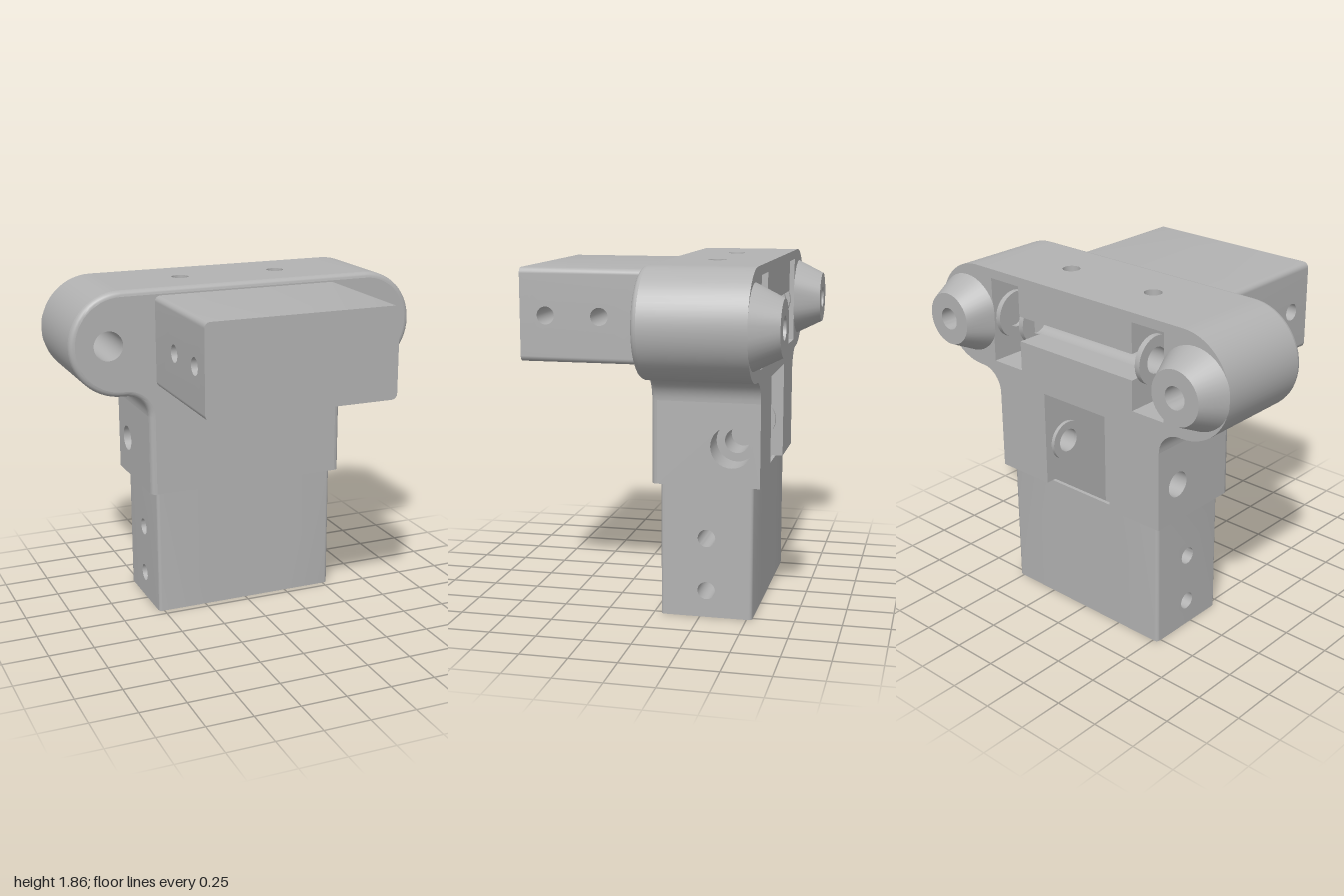
import * as THREE from 'three';
import { toCreasedNormals } from 'three/addons/utils/BufferGeometryUtils.js';

const V = (x, y) => new THREE.Vector2(x, y);

function arc(cx, cy, r, a0, a1, n) {
  return Array.from({ length: n + 1 }, (_, i) => {
    const a = a0 + (a1 - a0) * i / n;
    return V(cx + r * Math.cos(a), cy + r * Math.sin(a));
  });
}

// Shape from points, with round holes given as [x, y, radius]
function shapeOf(points, holes = []) {
  const s = new THREE.Shape(points);
  for (const [x, y, r] of holes) s.holes.push(new THREE.Path(arc(x, y, r, 0, -Math.PI * 2, 32).slice(0, -1)));
  return s;
}
const rect = (x0, x1, y0, y1) => [V(x0, y0), V(x1, y0), V(x1, y1), V(x0, y1)];
const extrude = (shape, depth, steps = 1) =>
  new THREE.ExtrudeGeometry(shape, { depth, steps, bevelEnabled: false, curveSegments: 16 });
const smooth = (g) => toCreasedNormals(g, 0.5);

// Right half of the T outline inset by t, from the foot up to the top of the lobe
function halfOutline(t) {
  return [
    V(0.57 - t, 0.72),
    ...arc(0.7, 1.16, 0.13 + t, Math.PI, Math.PI / 2, 10),
    ...arc(0.715, 1.575, 0.285 - t, -Math.PI / 2, Math.PI / 2, 28),
  ];
}
function outline(t) {
  const h = halfOutline(t);
  return [...h, ...h.map((p) => V(-p.x, p.y)).reverse()];
}

// Rounded rim that joins the T outline to its front face
function rimGeometry(r) {
  const pos = [], idx = [], steps = 5;
  let n = 0;
  for (let k = 0; k <= steps; k++) {
    const a = k / steps * Math.PI / 2;
    const ring = outline(r * (1 - Math.cos(a)));
    n = ring.length;
    ring.forEach((p) => pos.push(p.x, p.y, -r + r * Math.sin(a)));
  }
  for (let k = 0; k < steps; k++) for (let i = 0; i < n; i++) {
    const a = k * n + i, b = k * n + (i + 1) % n;
    idx.push(a, b, b + n, a, b + n, a + n);
  }
  const g = new THREE.BufferGeometry();
  g.setAttribute('position', new THREE.Float32BufferAttribute(pos, 3));
  g.setIndex(idx);
  return smooth(g);
}

// Block extruded along x (shape is drawn in -z, y)
function alongX(shape, x0, x1) {
  return smooth(extrude(shape, x1 - x0).rotateY(Math.PI / 2).translate(x0, 0, 0));
}

// Drilled block along x whose outer edges are rounded across z or y
function roundedSide(u0, u1, y0, y1, holes, x0, x1, r, axis) {
  const g = extrude(shapeOf(rect(u0, u1, y0, y1), holes), 1, 5);
  const p = g.attributes.position;
  const [lo, hi] = axis === 'z' ? [u0, u1] : [y0, y1];
  for (let i = 0; i < p.count; i++) {
    const k = Math.round(p.getZ(i) * 5);
    const a = Math.max(0, k - 1) / 4 * Math.PI / 2;
    const inset = r * (1 - Math.cos(a));
    let c = axis === 'z' ? p.getX(i) : p.getY(i);
    if (Math.abs(c - lo) < 1e-4) c += inset;
    else if (Math.abs(c - hi) < 1e-4) c -= inset;
    if (axis === 'z') p.setX(i, c); else p.setY(i, c);
    p.setZ(i, k === 0 ? x0 : x1 - r + r * Math.sin(a));
  }
  return smooth(g.rotateY(Math.PI / 2));
}

export function createModel() {
  const root = new THREE.Group();
  root.name = 'cornerBracket';
  const grey = new THREE.MeshStandardMaterial({ color: 0xb2b2b2, side: THREE.DoubleSide });
  grey.name = 'grey';

  const add = (name, geo, mirror = false) => {
    for (const s of mirror ? [1, -1] : [1]) {
      const m = new THREE.Mesh(geo, grey);
      m.name = name;
      m.scale.x = s;
      root.add(m);
    }
  };
  const box = (name, x0, x1, y0, y1, z0, z1, mirror) => add(name,
    new THREE.BoxGeometry(x1 - x0, y1 - y0, z1 - z0)
      .translate((x0 + x1) / 2, (y0 + y1) / 2, (z0 + z1) / 2), mirror);

  const R = 0.03, BACK = -0.57, AXIS = 1.575, BOLT = 0.79, NOTCH = 0.23;

  // Front face with its rounded rim and bolt holes
  add('frontRim', rimGeometry(R));
  add('frontFace', new THREE.ShapeGeometry(
    shapeOf(outline(R), [[BOLT, AXIS, 0.08], [-BOLT, AXIS, 0.08]])));
  add('boltHoleLip', new THREE.CylinderGeometry(0.08, 0.08, R, 32, 1, true)
    .rotateX(Math.PI / 2).translate(BOLT, AXIS, -R / 2), true);

  // Side lobes, stepped where they form the pocket wall
  const lobe = [...halfOutline(0).slice(1), V(0.6, 1.86), V(0.6, 1.34), V(0.57, 1.34)];
  add('sideLobe', smooth(extrude(shapeOf(lobe, [[BOLT, AXIS, 0.08]]), -BACK - R)
    .translate(0, 0, BACK)), true);

  // Rear pockets beside the lobes
  box('pocketRoof', 0.395, 0.6, 1.81, 1.86, BACK, -R, true);
  box('pocketFloor', 0.395, 0.6, 1.34, 1.81, -0.27, -R, true);

  // Top bar with two vertical holes
  add('topBar', smooth(extrude(shapeOf(rect(-0.395, 0.395, R, -BACK),
    [[0.285, 0.285, 0.047], [-0.285, 0.285, 0.047]]), 0.215)
    .rotateX(-Math.PI / 2).translate(0, 1.645, 0)));

  // Round-bottomed rear groove
  const groove = [V(R, 1.505), ...arc(0.42, AXIS, 0.07, Math.PI * 1.5, Math.PI / 2, 14), V(R, 1.645)];
  add('rearGroove', alongX(shapeOf(groove), -0.395, 0.395));
  box('grooveLedge', -0.395, 0.395, 1.34, 1.505, BACK, -R);
  box('crossBar', -0.57, 0.57, 1.25, 1.34, BACK, -R);

  // Legs either side of the rear notch, with a stepped cross bore
  const leg = (r) => shapeOf(rect(R, -BACK, 0.72, 1.25), [[0.42, 0.93, r]]);
  add('leftLegInner', alongX(leg(0.065), NOTCH, 0.4));
  add('leftLegOuter', alongX(leg(0.11), 0.4, 0.57));
  add('rightLeg', alongX(leg(0.07), -0.57, -NOTCH));
  box('notchWall', -NOTCH, NOTCH, 0.72, 1.25, -0.11, -R);

  // Raised washers around the bores
  const washer = (r, hole, x0, x1, y) => alongX(
    shapeOf(arc(0.42, y, r, 0, Math.PI * 2, 32).slice(0, -1), [[0.42, y, hole]]), x0, x1);
  add('notchWasher', washer(0.11, 0.065, NOTCH - 0.02, NOTCH, 0.93), true);
  add('pocketOuterWasher', washer(0.13, 0.07, 0.57, 0.6, AXIS), true);
  add('pocketInnerWasher', washer(0.13, 0.07, 0.395, 0.425, AXIS), true);

  // Hollow cone bosses on the back, trimmed beside the pockets
  const cone = new THREE.LatheGeometry(
    [V(0.08, 0), V(0.215, 0), V(0.143, 0.145), V(0.06, 0.145), V(0.06, 0), V(0.08, 0)], 40)
    .rotateX(-Math.PI / 2).translate(BOLT, AXIS, BACK);
  const cp = cone.attributes.position;
  for (let i = 0; i < cp.count; i++) cp.setX(i, Math.min(1, Math.max(0.59, cp.getX(i))));
  add('coneBoss', smooth(cone), true);

  // Lower spigot: drilled side blocks joined by thin front and back walls
  add('lowerSpigotSide', roundedSide(0.04, 0.53, 0, 0.72,
    [[0.285, 0.145, 0.047], [0.285, 0.43, 0.047]], NOTCH, 0.53, 0.02, 'z'), true);
  box('lowerSpigotFront', -NOTCH, NOTCH, 0, 0.72, -0.11, -0.04);
  box('lowerSpigotBack', -NOTCH, NOTCH, 0, 0.72, -0.53, -0.51);

  // Forward spigot: solid, cross-drilled
  add('frontSpigotHalf', roundedSide(-0.715, 0, 1.33, 1.822,
    [[-0.575, AXIS, 0.047], [-0.285, AXIS, 0.047]], 0, 0.53, 0.03, 'y'), true);

  return root;
}
